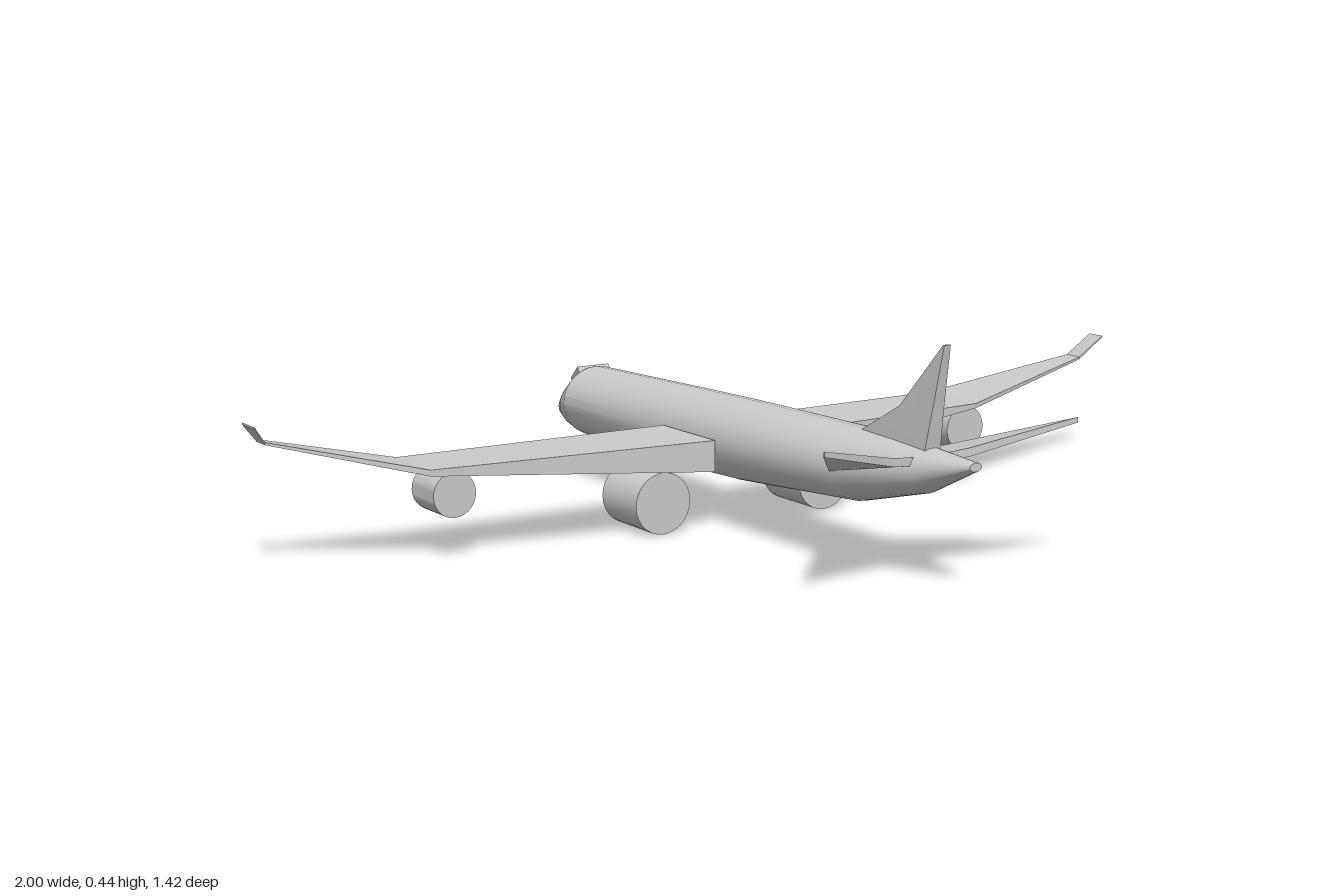
import * as THREE from 'three';
import { toCreasedNormals } from 'three/addons/utils/BufferGeometryUtils.js';

const CX = -0.025; // centre line of the fuselage

// Skin between cross-sections (arrays of [x, y, z]), closed at both ends
function loft(sections, crease = 0.1) {
  const n = sections[0].length;
  const tris = [];
  for (let s = 0; s < sections.length - 1; s++) {
    for (let i = 0; i < n; i++) {
      const j = (i + 1) % n;
      const a = sections[s][i], b = sections[s][j];
      const c = sections[s + 1][j], d = sections[s + 1][i];
      tris.push([a, b, c], [a, c, d]);
    }
  }
  const first = sections[0], last = sections[sections.length - 1];
  for (let i = 1; i < n - 1; i++) {
    tris.push([first[0], first[i + 1], first[i]], [last[0], last[i], last[i + 1]]);
  }
  // Signed volume tells whether the faces point outward
  let volume = 0;
  for (const [a, b, c] of tris) {
    volume += a[0] * (b[1] * c[2] - b[2] * c[1])
      + a[1] * (b[2] * c[0] - b[0] * c[2])
      + a[2] * (b[0] * c[1] - b[1] * c[0]);
  }
  if (volume < 0) tris.forEach(t => t.reverse());
  const geometry = new THREE.BufferGeometry();
  geometry.setAttribute('position', new THREE.Float32BufferAttribute(tris.flat(2), 3));
  return toCreasedNormals(geometry, crease);
}

// Upright oval ring across the fuselage
function ring(z, bottom, top, halfWidth, sides = 28) {
  return Array.from({ length: sides }, (_, i) => {
    const a = (i / sides) * Math.PI * 2;
    return [CX + Math.sin(a) * halfWidth, (top + bottom) / 2 + Math.cos(a) * (top - bottom) / 2, z];
  });
}

// Box-like section of a wing at x, from leading edge to trailing edge
const rib = (x, lead, trail, bottom, top, leadLow = lead) =>
  [[x, top, lead], [x, top, trail], [x, bottom, trail], [x, bottom, leadLow]];

export function createModel() {
  const group = new THREE.Group();
  const material = new THREE.MeshStandardMaterial({ color: 0xcccccc });
  const add = (name, geometry) => {
    const mesh = new THREE.Mesh(geometry, material);
    mesh.name = name;
    group.add(mesh);
    return mesh;
  };

  // Fuselage from nose to tail cone: z, bottom, top, half width
  add('fuselage', loft([
    [-0.71, 0.11, 0.163, 0.028],
    [-0.66, 0.098, 0.2, 0.053],
    [-0.595, 0.09, 0.238, 0.08],
    [-0.2, 0.088, 0.25, 0.082],
    [0, 0.095, 0.255, 0.083],
    [0.39, 0.125, 0.26, 0.085],
    [0.58, 0.173, 0.256, 0.046],
    [0.71, 0.234, 0.25, 0.013],
  ].map(r => ring(...r)), 0.42));

  // Cockpit windscreen: a frame around a sunken pane, lying on the nose slope
  const trapezoid = (Type, low, high, y0, y1) => new Type().setFromPoints([
    new THREE.Vector2(-low, y0), new THREE.Vector2(low, y0),
    new THREE.Vector2(high, y1), new THREE.Vector2(-high, y1),
  ]);
  const frame = trapezoid(THREE.Shape, 0.022, 0.038, 0, 0.066);
  frame.holes.push(trapezoid(THREE.Path, 0.018, 0.03, 0.004, 0.058));
  const windscreen = new THREE.Group();
  windscreen.name = 'windscreen';
  const frameMesh = add('windscreenFrame',
    new THREE.ExtrudeGeometry(frame, { depth: 0.014, bevelEnabled: false }));
  const pane = add('windscreenPane', new THREE.ExtrudeGeometry(
    trapezoid(THREE.Shape, 0.02, 0.034, 0.002, 0.062), { depth: 0.01, bevelEnabled: false }));
  windscreen.add(frameMesh, pane);
  windscreen.position.set(CX, 0.193, -0.658);
  windscreen.rotation.set(Math.PI / 3, Math.PI, 0, 'YXZ');
  windscreen.rotation.x = -Math.PI / 3;
  group.add(windscreen);

  // Main wings with upturned tips
  add('leftWing', loft([
    rib(0.06, -0.187, 0.005, 0.122, 0.182, -0.16),
    rib(0.57, -0.21, -0.045, 0.17, 0.18),
    rib(0.955, -0.21, -0.167, 0.222, 0.227),
    rib(1, -0.187, -0.145, 0.27, 0.273),
  ]));
  add('rightWing', loft([
    rib(-0.11, -0.183, 0.008, 0.122, 0.184, -0.16),
    rib(-0.69, -0.195, -0.052, 0.17, 0.182),
    rib(-0.97, -0.187, -0.15, 0.243, 0.248),
    rib(-1, -0.18, -0.122, 0.279, 0.283),
  ]));

  // Swept tailplanes
  const tailplane = (name, side, rootX, tipX, tipZ) => add(name, loft([
    [[CX + side * 0.02, 0.192, 0.36], [CX + side * 0.02, 0.24, 0.575],
      [CX + side * 0.02, 0.224, 0.575], [CX + side * 0.02, 0.178, 0.36]],
    [[rootX, 0.204, 0.39], [rootX, 0.247, 0.586],
      [rootX, 0.231, 0.586], [rootX, 0.19, 0.39]],
    [[tipX, 0.286, tipZ - 0.004], [tipX, 0.288, tipZ],
      [tipX, 0.278, tipZ], [tipX, 0.278, tipZ - 0.004]],
  ]));
  tailplane('leftTailplane', 1, 0.06, 0.27, 0.632);
  tailplane('rightTailplane', -1, -0.11, -0.295, 0.64);

  // Tail fin: y, leading z, trailing z, leading and trailing half widths
  add('tailFin', loft([
    [0.24, 0.37, 0.585, 0.011, 0.017],
    [0.26, 0.39, 0.588, 0.011, 0.017],
    [0.32, 0.5, 0.6, 0.009, 0.013],
    [0.445, 0.621, 0.626, 0.006, 0.007],
  ].map(([y, lead, trail, w0, w1]) => [
    [CX - w0, y, lead], [CX + w0, y, lead], [CX + w1, y, trail], [CX - w1, y, trail],
  ])));

  // Engines: open at the front, closed at the back
  const engine = (name, x, y, r, front, back) => {
    const length = back - front;
    const profile = [
      [0, 0], [r, 0], [r, length], [r * 0.9, length], [r * 0.82, length * 0.15], [0, length * 0.15],
    ].map(p => new THREE.Vector2(...p));
    const geometry = toCreasedNormals(new THREE.LatheGeometry(profile, 28), 0.5);
    geometry.rotateX(-Math.PI / 2);
    add(name, geometry).position.set(x, y, back);
  };
  engine('leftInnerEngine', 0.17, 0.069, 0.061, -0.155, -0.025);
  engine('rightInnerEngine', -0.208, 0.065, 0.061, -0.153, -0.025);
  engine('leftOuterEngine', 0.558, 0.126, 0.047, -0.16, -0.065);
  engine('rightOuterEngine', -0.635, 0.127, 0.044, -0.155, -0.065);

  return group;
}
